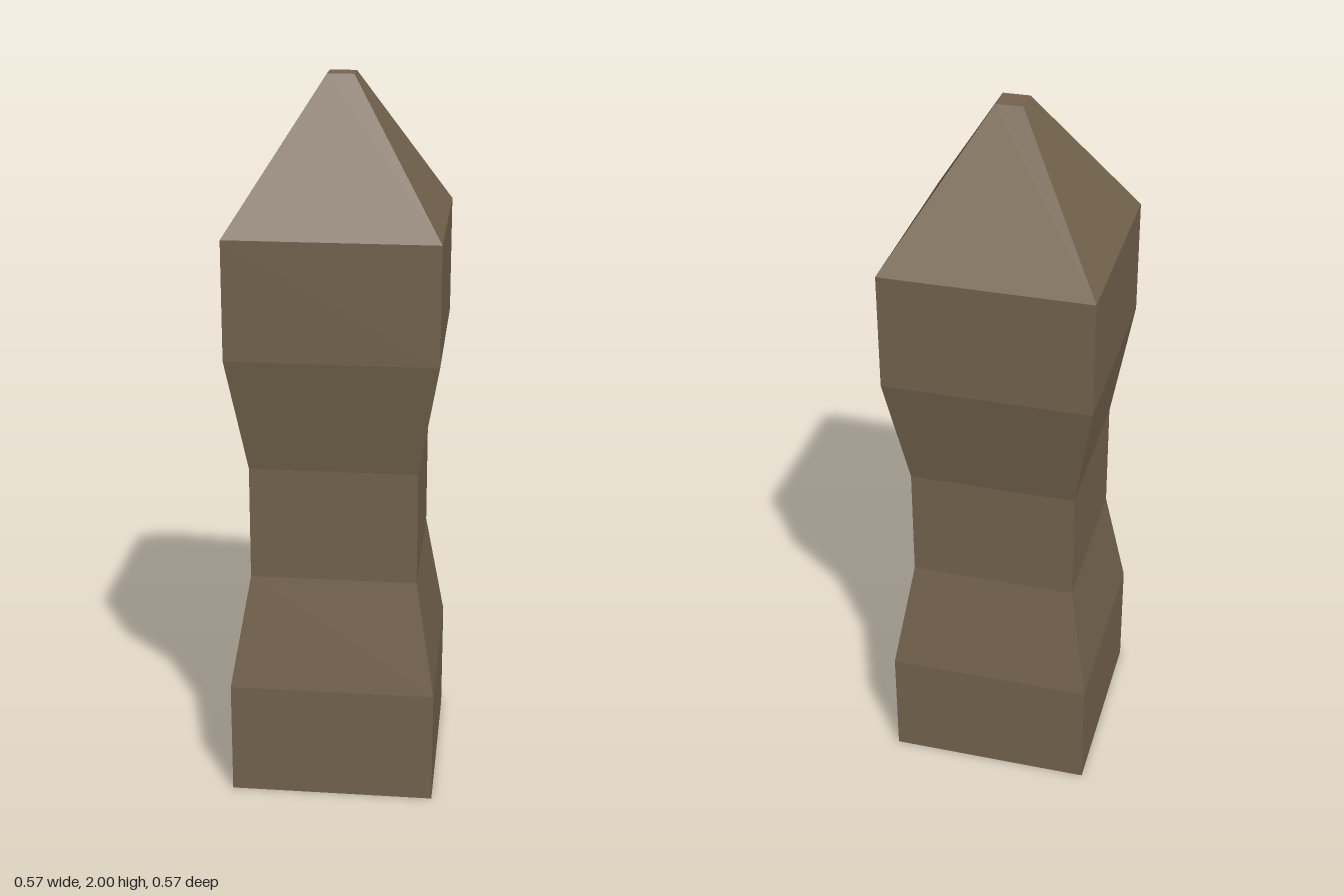
import * as THREE from 'three';

const stone = new THREE.MeshStandardMaterial({ color: 0x75644e });
stone.name = 'brownStone';

// Square-section solid from [halfWidth, y] pairs, listed bottom to top
function squareColumn(name, profile) {
  const points = profile.map(([half, y]) => new THREE.Vector2(half * Math.SQRT2, y));
  const geometry = new THREE.LatheGeometry(points, 4, Math.PI / 4).toNonIndexed();
  geometry.computeVertexNormals(); // flat facets
  const mesh = new THREE.Mesh(geometry, stone);
  mesh.name = name;
  return mesh;
}

export function createModel() {
  const group = new THREE.Group();
  group.name = 'stonePost';

  // Post: closed base, narrowed waist, wide shoulder
  group.add(squareColumn('post', [
    [0, 0], [0.285, 0], [0.285, 0.325], [0.23, 0.645],
    [0.23, 0.965], [0.285, 1.285], [0.285, 1.61],
  ]));

  // Pyramid cap with a small flat tip
  group.add(squareColumn('cap', [[0.285, 1.61], [0.036, 2], [0, 2]]));

  return group;
}
